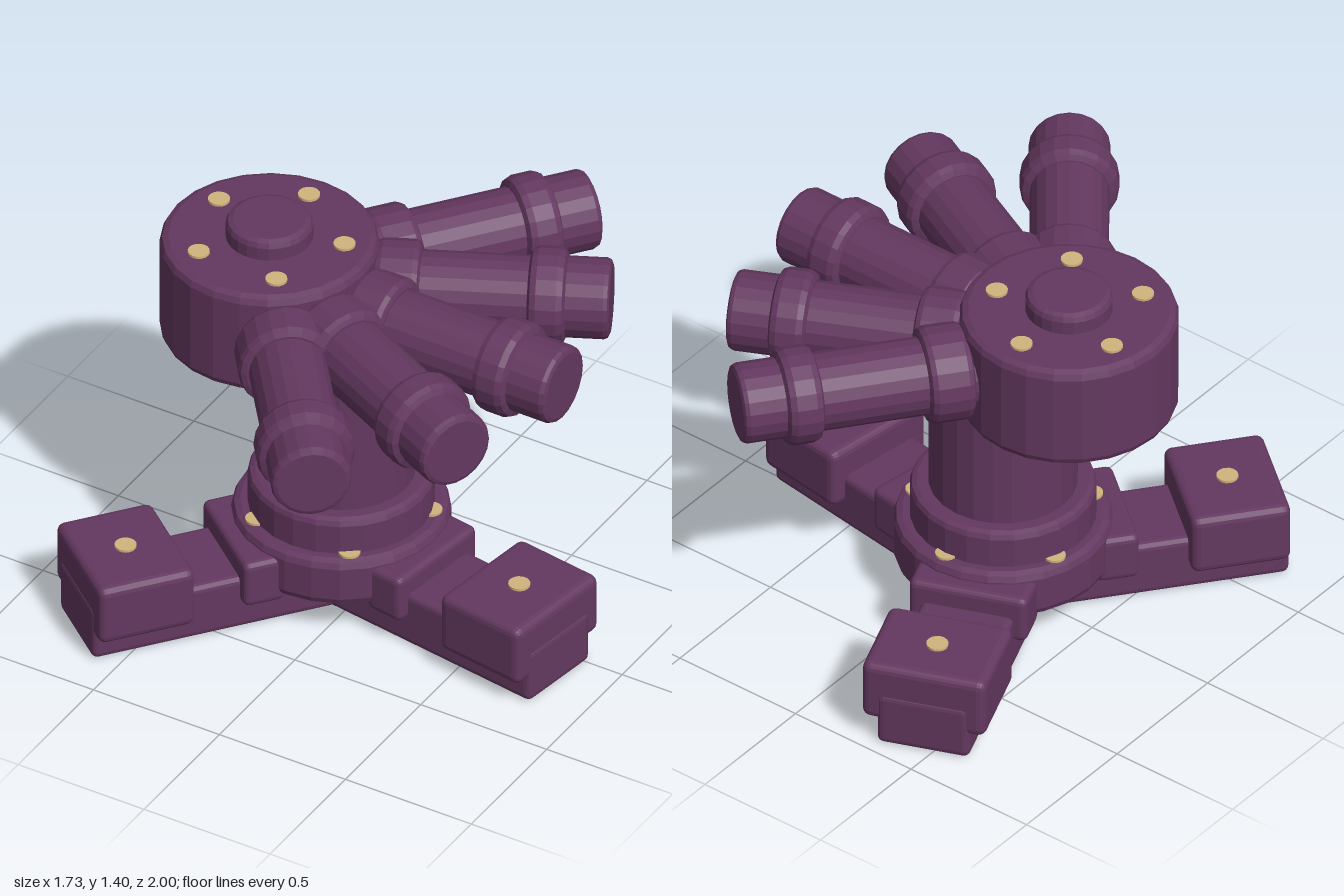
import * as THREE from 'three';
import { RoundedBoxGeometry } from 'three/addons/geometries/RoundedBoxGeometry.js';

const purple = new THREE.MeshStandardMaterial({ color: 0x643860, flatShading: true });
purple.name = 'plum paint';
const gold = new THREE.MeshStandardMaterial({ color: 0xd0b47c });
gold.name = 'pale brass';

const POST_X = -0.115; // axis of column and legs
const DRUM_X = -0.4; // axis of drum and barrels
const rad = THREE.MathUtils.degToRad;

function add(parent, name, geometry, material, x = 0, y = 0, z = 0) {
  const mesh = new THREE.Mesh(geometry, material);
  mesh.name = name;
  mesh.position.set(x, y, z);
  parent.add(mesh);
  return mesh;
}

// Closed cylinder from y0 to y1 with rounded rims
function disc(r, y0, y1, bevel = 0.025, sides = 24) {
  const k = bevel * 0.3;
  const pts = [
    [0, y0], [r - bevel, y0], [r - k, y0 + k], [r, y0 + bevel],
    [r, y1 - bevel], [r - k, y1 - k], [r - bevel, y1], [0, y1],
  ].map(([x, y]) => new THREE.Vector2(x, y));
  return new THREE.LatheGeometry(pts, sides);
}

function bolt(parent, x, y, z) {
  add(parent, 'bolt', new THREE.CylinderGeometry(0.038, 0.038, 0.009, 16), gold, x, y + 0.0045, z);
}

// Five bolts in a circle, the first at the back
function boltCircle(parent, x, y, r) {
  for (let i = 0; i < 5; i++) {
    const a = rad(-90 + i * 72);
    bolt(parent, x + r * Math.cos(a), y, r * Math.sin(a));
  }
}

// Leg pointing along +x, with clamp and foot pad
function makeLeg() {
  const leg = new THREE.Group();
  leg.name = 'leg';
  add(leg, 'legBeam', new RoundedBoxGeometry(1.0, 0.21, 0.33, 2, 0.025), purple, 0.465, 0.105, 0);
  add(leg, 'legClamp', new RoundedBoxGeometry(0.15, 0.18, 0.42, 2, 0.025), purple, 0.355, 0.2, 0);
  add(leg, 'footPad', new RoundedBoxGeometry(0.35, 0.23, 0.44, 2, 0.03), purple, 0.785, 0.21, 0);
  bolt(leg, 0.785, 0.325, 0);
  return leg;
}

// Barrel pointing along +x from the drum axis
function makeBarrel() {
  const barrel = new THREE.Group();
  barrel.name = 'barrel';
  const parts = [
    ['barrelCollar', 0.17, 0.36, 0.52, 0.025],
    ['barrelTube', 0.136, 0.3, 0.95, 0.01],
    ['barrelRing', 0.17, 0.89, 1.02, 0.03],
    ['barrelTip', 0.14, 0.95, 1.17, 0.02],
  ];
  for (const [name, r, a, b, bevel] of parts) {
    add(barrel, name, disc(r, a, b, bevel, 20), purple).rotation.z = -Math.PI / 2;
  }
  return barrel;
}

export function createModel() {
  const model = new THREE.Group();
  model.name = 'rotaryTool';

  // Three-legged stand
  for (let i = 0; i < 3; i++) {
    const leg = makeLeg();
    leg.position.x = POST_X;
    leg.rotation.y = -rad(8.5 + i * 120);
    model.add(leg);
  }

  // Hub and column
  add(model, 'hub', disc(0.375, 0.14, 0.325, 0.03), purple, POST_X);
  boltCircle(model, POST_X, 0.325, 0.315);
  add(model, 'columnFlange', disc(0.32, 0.3, 0.462, 0.025), purple, POST_X);
  add(model, 'column', disc(0.256, 0.4, 1.0, 0.01), purple, POST_X);

  // Drum with cap
  add(model, 'drum', disc(0.375, 0.935, 1.332, 0.03), purple, DRUM_X);
  add(model, 'drumCap', disc(0.15, 1.3, 1.405, 0.025), purple, DRUM_X);
  boltCircle(model, DRUM_X, 1.332, 0.262);

  // Fan of five barrels
  for (let i = -2; i <= 2; i++) {
    const barrel = makeBarrel();
    barrel.position.set(DRUM_X, 1.135, 0);
    barrel.rotation.y = rad(i * 26);
    model.add(barrel);
  }
  return model;
}
